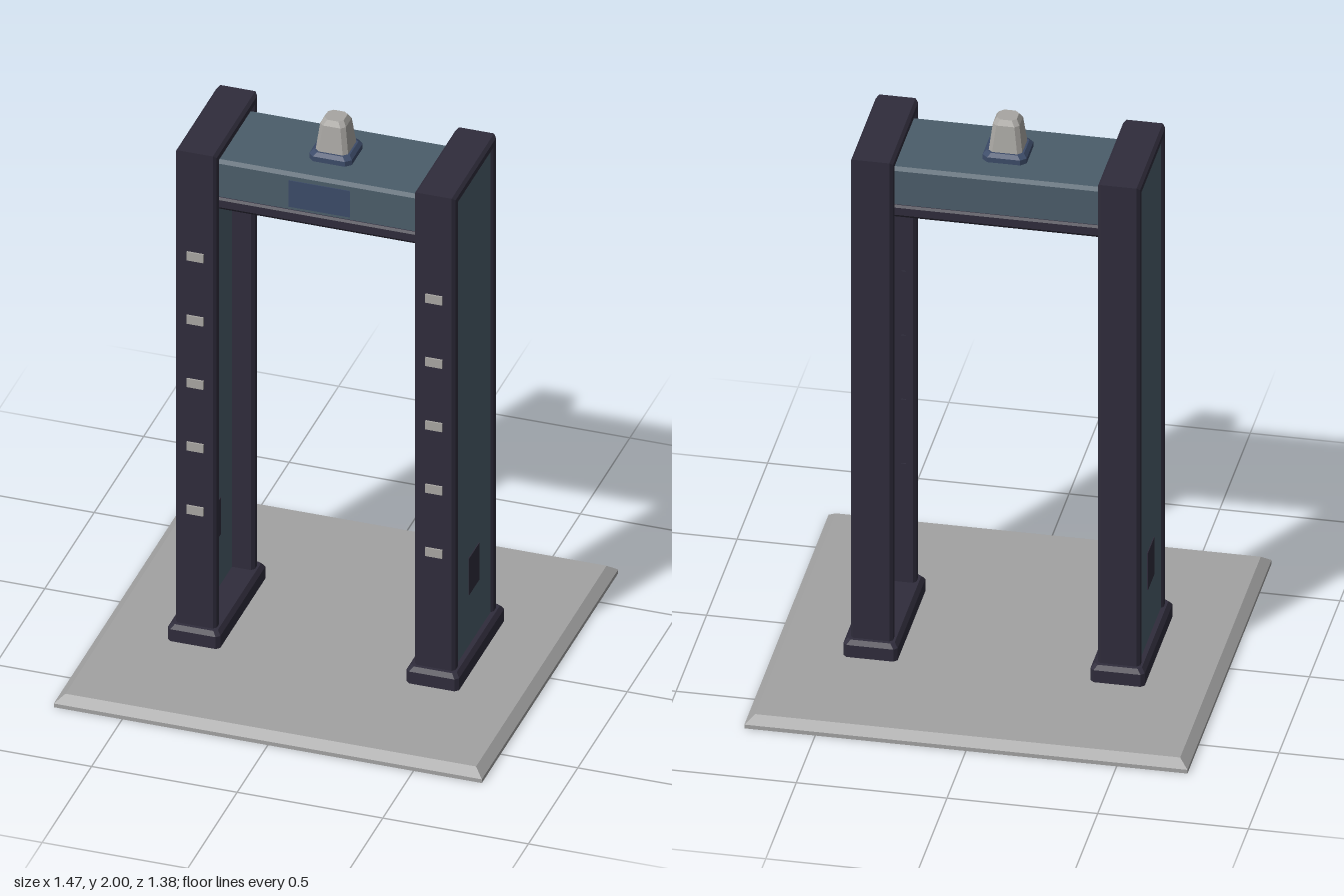
import * as THREE from 'three';

// Flat-shaded solid from stacked rectangles [y, halfX, halfZ], corners cut by c
function loft(levels, c = 0) {
  const pos = [], idx = [];
  const n = c > 0 ? 8 : 4;
  for (const [y, x, z] of levels) {
    const ring = c > 0
      ? [[x, z - c], [x, c - z], [x - c, -z], [c - x, -z], [-x, c - z], [-x, z - c], [c - x, z], [x - c, z]]
      : [[x, z], [x, -z], [-x, -z], [-x, z]];
    for (const [px, pz] of ring) pos.push(px, y, pz);
  }
  const top = (levels.length - 1) * n;
  for (let i = 0; i < top; i += n) {
    for (let j = 0; j < n; j++) {
      const a = i + j, b = i + (j + 1) % n;
      idx.push(a, b, b + n, a, b + n, a + n);
    }
  }
  for (let j = 1; j < n - 1; j++) {
    idx.push(top, top + j, top + j + 1);
    idx.push(0, j + 1, j);
  }
  const g = new THREE.BufferGeometry();
  g.setAttribute('position', new THREE.Float32BufferAttribute(pos, 3));
  g.setIndex(idx);
  const flat = g.toNonIndexed();
  flat.computeVertexNormals();
  return flat;
}

// Box given by its limits
function block(x0, x1, y0, y1, z0, z1) {
  return new THREE.BoxGeometry(x1 - x0, y1 - y0, z1 - z0)
    .translate((x0 + x1) / 2, (y0 + y1) / 2, (z0 + z1) / 2);
}

// Upright rectangular frame with bevelled edges, centred on x = 0
function frameGeometry() {
  const rect = (s, z, y0, y1) => s.moveTo(-z, y0).lineTo(z, y0).lineTo(z, y1).lineTo(-z, y1).closePath();
  const shape = rect(new THREE.Shape(), 0.215, 0.06, 1.9);
  shape.holes.push(rect(new THREE.Path(), 0.17, 0.1, 1.86));
  const b = 0.01, width = 0.14;
  const g = new THREE.ExtrudeGeometry(shape, {
    depth: width - 2 * b, bevelEnabled: true, bevelSegments: 1,
    bevelSize: b, bevelThickness: b, bevelOffset: -b,
  });
  return g.translate(0, 0, b - width / 2).rotateY(Math.PI / 2);
}

export function createModel() {
  const model = new THREE.Group();
  model.name = 'walkThroughDetector';

  const mat = (name, color) => {
    const m = new THREE.MeshStandardMaterial({ color });
    m.name = name;
    return m;
  };
  const frameDark = mat('darkFrame', 0x2f2c3b);
  const panelBlue = mat('slateBluePanel', 0x4b5d6a);
  const navy = mat('navyTrim', 0x3c4b68);
  const floorGrey = mat('floorGrey', 0xa2a2a2);
  const lampGrey = mat('lampGrey', 0xa8a6a2);

  const add = (parent, name, geometry, material) => {
    const m = new THREE.Mesh(geometry, material);
    m.name = name;
    parent.add(m);
    return m;
  };

  // Floor plate with a sloping rim
  add(model, 'floorPlate', loft([[0, 0.735, 0.69], [0.014, 0.735, 0.69], [0.04, 0.705, 0.66]]), floorGrey);

  // Two posts
  for (const side of [1, -1]) {
    const post = new THREE.Group();
    post.name = side > 0 ? 'leftPost' : 'rightPost';
    post.position.x = side * 0.41;
    model.add(post);

    add(post, 'foot', loft([[0.035, 0.09, 0.24], [0.085, 0.09, 0.24], [0.1, 0.078, 0.228]], 0.012), frameDark);
    add(post, 'postFrame', frameGeometry(), frameDark);

    // Sunk deep on the inside, nearly flush on the outside
    const px = [0.005 * side, 0.062 * side].sort((a, b) => a - b);
    add(post, 'sidePanel', block(px[0], px[1], 0.09, 1.87, -0.175, 0.175), panelBlue);
    add(post, 'accessPlate', block(px[0] - 0.003, px[1] + 0.003, 0.295, 0.435, -0.052, 0.052), frameDark);

    // Indicator lights up the front, with small fixings behind
    for (let i = 0; i < 5; i++) {
      const y = 0.54 + i * 0.2415;
      add(post, 'indicatorLight', block(-0.029, 0.029, y - 0.016, y + 0.016, 0.2, 0.221), lampGrey);
      add(post, 'lightFixing', block(-0.03 * side - 0.008, -0.03 * side + 0.008, y - 0.008, y + 0.008, 0.165, 0.18), frameDark);
    }
  }

  // Cross beam with dark rails along its lower edges
  const beam = new THREE.Group();
  beam.name = 'crossBeam';
  model.add(beam);
  add(beam, 'beamBody', loft([[1.7, 0.413, 0.166], [1.845, 0.413, 0.166], [1.858, 0.413, 0.157]]), panelBlue);
  for (const s of [1, -1]) {
    const rail = loft([[1.675, 0.4, 0.012], [1.685, 0.4, 0.02], [1.712, 0.4, 0.02], [1.72, 0.4, 0.014]]);
    add(beam, 'beamRail', rail, frameDark).position.z = s * 0.155;
  }
  add(beam, 'displayScreen', block(-0.105, 0.105, 1.73, 1.83, 0.163, 0.169), navy);

  // Warning lamp on top
  const beacon = new THREE.Group();
  beacon.name = 'beacon';
  model.add(beacon);
  add(beacon, 'beaconBase', loft([[1.855, 0.073, 0.073], [1.876, 0.073, 0.073], [1.888, 0.062, 0.062]], 0.018), navy);
  add(beacon, 'beaconLamp', loft([[1.885, 0.056, 0.056], [1.982, 0.044, 0.044], [2, 0.033, 0.033]], 0.014), lampGrey);

  return model;
}
